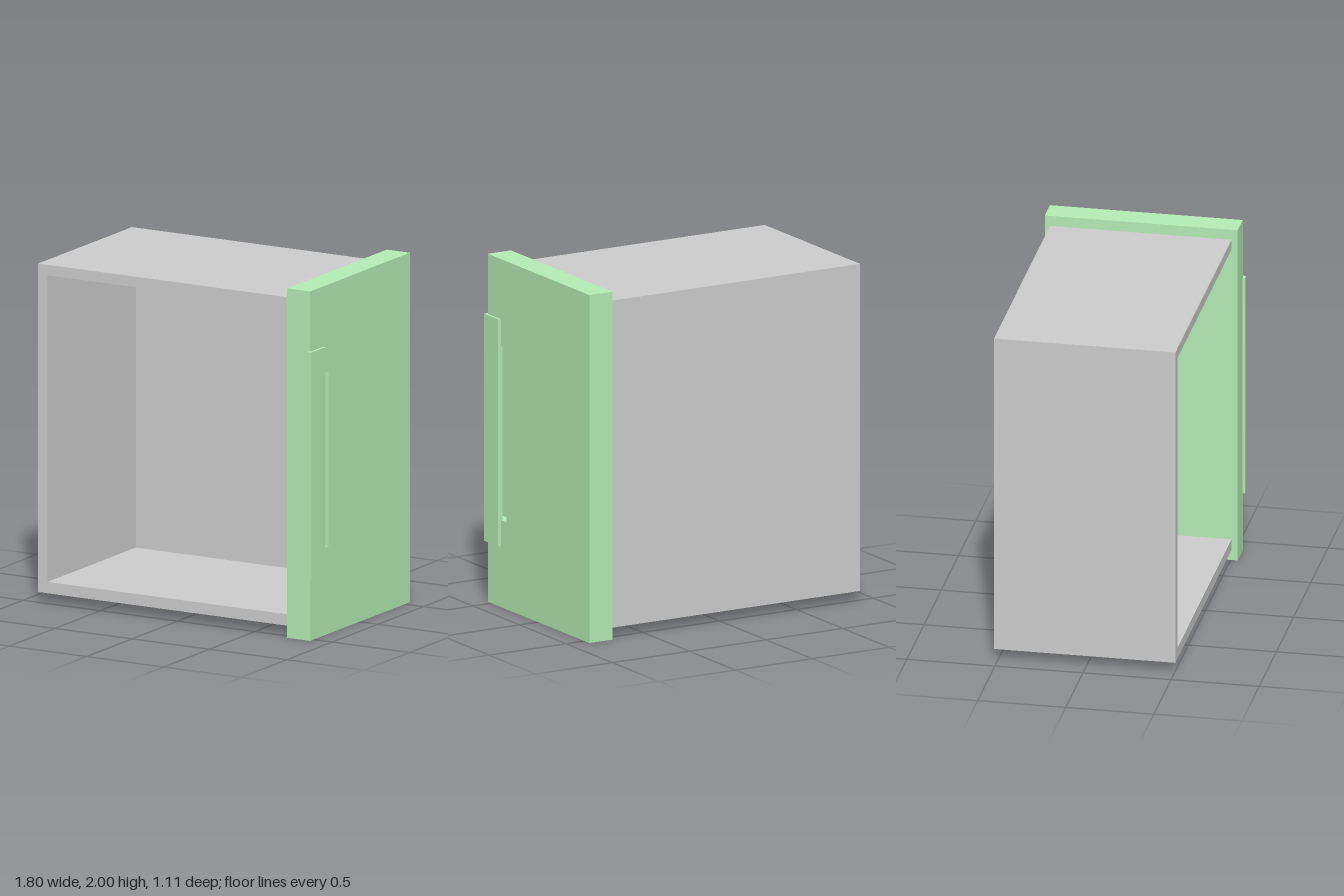
import * as THREE from 'three';

const grey = new THREE.MeshStandardMaterial({ color: 0xcccccc });
const green = new THREE.MeshStandardMaterial({ color: 0xb3eab3 });

// Box given by its minimum and maximum corners
function block(name, min, max, material) {
  const size = max.map((v, i) => v - min[i]);
  const mesh = new THREE.Mesh(new THREE.BoxGeometry(...size), material);
  mesh.position.set(...max.map((v, i) => (v + min[i]) / 2));
  mesh.name = name;
  return mesh;
}

const rect = (x0, y0, x1, y1) =>
  [[x0, y0], [x1, y0], [x1, y1], [x0, y1]].map(p => new THREE.Vector2(...p));

export function createModel() {
  const model = new THREE.Group();
  model.name = 'drawer';

  // Drawer walls: a C-shaped section, closed on the right by the facing panel
  const section = new THREE.Shape([
    [-0.9, 0.06], [0.73, 0.06], [0.73, 0.125], [-0.84, 0.125],
    [-0.84, 1.88], [0.73, 1.88], [0.73, 1.94], [-0.9, 1.94],
  ].map(p => new THREE.Vector2(...p)));
  const walls = new THREE.Mesh(
    new THREE.ExtrudeGeometry(section, { depth: 0.97, bevelEnabled: false }), grey);
  walls.position.z = -0.465;
  walls.name = 'drawerWalls';
  model.add(walls);
  model.add(block('drawerBase', [-0.9, 0.06, -0.525], [0.73, 1.94, -0.465], grey));

  // Facing panel: solid inner layer and outer layer with the finger recess
  const panel = new THREE.Group();
  panel.name = 'facingPanel';
  panel.add(block('panelInnerLayer', [0.73, 0, -0.555], [0.82, 2, 0.54], green));
  const face = new THREE.Shape(rect(-0.54, 0, 0.555, 2));
  face.holes.push(new THREE.Path(rect(-0.48, 0.5, -0.34, 1.5)));
  const outer = new THREE.Mesh(
    new THREE.ExtrudeGeometry(face, { depth: 0.06, bevelEnabled: false }), green);
  outer.rotation.y = Math.PI / 2;
  outer.position.x = 0.82;
  outer.name = 'panelOuterLayer';
  panel.add(outer);
  model.add(panel);

  // Pull plate partly covering the recess
  model.add(block('pullPlate', [0.868, 0.35, 0.4], [0.897, 1.655, 0.555], green));
  return model;
}
